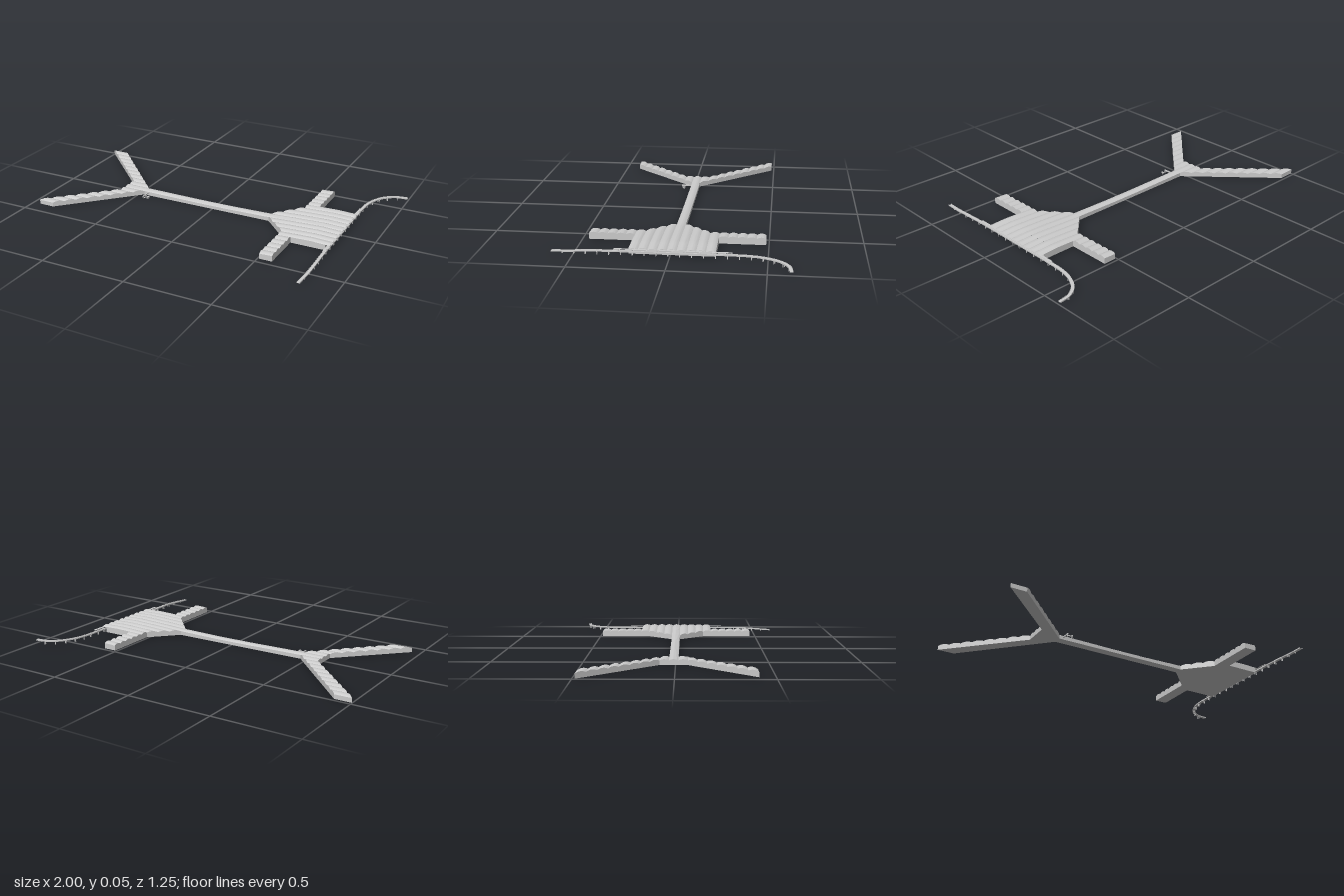
import * as THREE from 'three';
import { toCreasedNormals, mergeGeometries } from 'three/addons/utils/BufferGeometryUtils.js';

const grey = new THREE.MeshStandardMaterial({ color: 0xcccccc });
const greyThin = new THREE.MeshStandardMaterial({ color: 0xcccccc, side: THREE.DoubleSide });
const BAY = 0.05, Z0 = -0.485, FLOOR = 0.002, MID = -0.01;
const lerp = THREE.MathUtils.lerp;

// Piecewise-linear lookup
function along(table, t) {
  for (let i = 1; i < table.length; i++) {
    const [a, ya] = table[i - 1], [b, yb] = table[i];
    if (t <= b) return lerp(ya, yb, Math.max(0, (t - a) / (b - a)));
  }
  return table[table.length - 1][1];
}

// Roof crest sags along the spine and swells over the hall; bays are arched across z
const CREST = [[-1, 0.035], [-0.5, 0.033], [-0.1, 0.029], [0.1, 0.029], [0.38, 0.034],
  [0.52, 0.040], [0.62, 0.044], [0.70, 0.046], [0.81, 0.042]];
function roofY(x, z) {
  const t = (((z - Z0) / BAY) % 1 + 1) % 1;
  const s = 2 * t - 1;
  return along(CREST, x) - 0.008 * s * s;
}

// Surface patch from a rule; it faces du x dv
function patch(f, nu, nv) {
  const pos = [];
  for (let i = 0; i < nu; i++) for (let j = 0; j < nv; j++) {
    const a = f(i / nu, j / nv), b = f((i + 1) / nu, j / nv);
    const c = f((i + 1) / nu, (j + 1) / nv), d = f(i / nu, (j + 1) / nv);
    pos.push(...a, ...b, ...c, ...a, ...c, ...d);
  }
  const g = new THREE.BufferGeometry();
  g.setAttribute('position', new THREE.Float32BufferAttribute(pos, 3));
  return g;
}

function addMesh(parent, name, geos, material = grey) {
  const mesh = new THREE.Mesh(toCreasedNormals(mergeGeometries(geos), 0.45), material);
  mesh.name = name;
  parent.add(mesh);
}

function box(w, h, d, x, y, z, ry = 0) {
  const g = new THREE.BoxGeometry(w, h, d).toNonIndexed().rotateY(ry).translate(x, y, z);
  g.deleteAttribute('uv');
  g.deleteAttribute('normal');
  return g;
}

// Footprint edges as functions of z
const westOuter = z => (z < -0.085 ? -0.6 + (z + 0.085) : z > 0.065 ? -0.6 - (z - 0.065) : -0.6);
const westInner = z => (z < MID ? -0.465 + (z + 0.035) * 0.97 : -0.465 - (z - 0.015) * 0.98);
const hallWest = z => lerp(0.365, 0.51, Math.min(1, Math.max(0, (Math.abs(z - MID) - 0.025) / 0.15)));
const HALL_EAST = 0.785, PIER_EAST = 0.585, EAVE = 0.81;

// One arched bay: roof, underside and the two end walls
function bay(out, za, zb, xa, xb) {
  const zm = (za + zb) / 2, n = Math.max(4, Math.ceil((xb(zm) - xa(zm)) / 0.03));
  const Z = t => lerp(za, zb, t);
  // keep the valley heights exact at both bay edges
  const Y = (x, t) => along(CREST, x) - 0.008 * (2 * t - 1) ** 2;
  out.roof.push(patch((u, v) => {
    const x = lerp(xa(Z(u)), xb(Z(u)), v);
    return [x, Y(x, u), Z(u)];
  }, 10, n));
  out.floor.push(patch((u, v) => [lerp(xa(Z(v)), xb(Z(v)), u), FLOOR, Z(v)], 1, 1));
  out.walls.push(patch((u, v) => {
    const x = xb(Z(v));
    return [x, lerp(FLOOR, Y(x, v), u), Z(v)];
  }, 1, 10));
  out.walls.push(patch((u, v) => {
    const x = xa(Z(u));
    return [x, lerp(FLOOR, Y(x, u), v), Z(u)];
  }, 10, 1));
}

// Straight wall at constant z, facing +z or -z
function crossWall(out, xa, xb, z, sign) {
  const n = Math.ceil((xb - xa) / 0.03);
  const p = (s, t) => {
    const x = lerp(xa, xb, s);
    return [x, lerp(FLOOR, along(CREST, x) - 0.008, t), z];
  };
  out.walls.push(sign > 0 ? patch((u, v) => p(u, v), n, 1) : patch((u, v) => p(v, u), 1, n));
}

function buildTerminal(group) {
  const out = { roof: [], floor: [], walls: [] };
  const eaves = [];
  for (let k = 0; k < 19; k++) {
    const za = Z0 + k * BAY, zb = za + BAY, zm = (za + zb) / 2;
    const inHall = zm > -0.235 && zm < 0.215;
    const hallEast = () => (inHall ? HALL_EAST : PIER_EAST);
    if (k === 9) {
      bay(out, za, zb, westOuter, hallEast); // spine bay runs the full length
    } else {
      if (zm < 0.415) bay(out, za, zb, westOuter, westInner);
      bay(out, za, zb, hallWest, hallEast);
    }
    if (inHall) eaves.push(patch((u, v) => {
      const x = lerp(HALL_EAST, EAVE, v);
      return [x, along(CREST, x) - 0.008 * (2 * u - 1) ** 2, lerp(za, zb, u)];
    }, 10, 2));
  }
  // Pier ends, hall shoulders and the long spine sides
  crossWall(out, westOuter(Z0), westInner(Z0), Z0, -1);
  crossWall(out, westOuter(0.415), westInner(0.415), 0.415, 1);
  crossWall(out, 0.51, PIER_EAST, Z0, -1);
  crossWall(out, 0.51, PIER_EAST, 0.465, 1);
  crossWall(out, PIER_EAST, HALL_EAST, -0.235, -1);
  crossWall(out, PIER_EAST, HALL_EAST, 0.215, 1);
  crossWall(out, -0.465, 0.365, -0.035, -1);
  crossWall(out, -0.465, 0.365, 0.015, 1);
  addMesh(group, 'archedRoof', out.roof);
  addMesh(group, 'walls', out.walls);
  addMesh(group, 'floor', out.floor);
  addMesh(group, 'roofEaves', eaves, greyThin);
}

function buildRoad(group) {
  const path = new THREE.CatmullRomCurve3([
    [0.797, 0.008, 0.62], [0.805, 0.014, 0.52], [0.807, 0.020, 0.42], [0.803, 0.021, 0.28],
    [0.803, 0.021, 0], [0.803, 0.021, -0.28], [0.808, 0.021, -0.41], [0.828, 0.021, -0.49],
    [0.870, 0.021, -0.562], [0.930, 0.021, -0.605], [1.0, 0.021, -0.617],
  ].map(p => new THREE.Vector3(...p)));
  // Deck cross-section with low parapets, as (across, up)
  const section = [[-0.009, -0.004], [0.009, -0.004], [0.009, 0.003], [0.008, 0.003],
    [0.008, 0], [-0.008, 0], [-0.008, 0.003], [-0.009, 0.003]];
  const N = 90, frames = [];
  for (let i = 0; i <= N; i++) {
    const p = path.getPointAt(i / N), t = path.getTangentAt(i / N);
    const side = new THREE.Vector3(-t.z, 0, t.x).normalize();
    frames.push(section.map(([a, b]) => [p.x + side.x * a, p.y + b, p.z + side.z * a]));
  }
  const S = section.length;
  const geos = [patch((u, v) => frames[Math.round(v * N)][Math.round(u * S) % S], S, N)];
  addMesh(group, 'elevatedRoad', geos, greyThin);

  // Paired columns with a crossbeam
  const columns = [];
  for (let i = 1; i < 22; i++) {
    const u = i / 22, p = path.getPointAt(u), t = path.getTangentAt(u);
    const ry = Math.atan2(t.x, t.z), h = p.y - 0.004;
    for (const s of [-0.005, 0.005]) {
      columns.push(box(0.003, h, 0.004, p.x + s * Math.cos(ry), h / 2, p.z - s * Math.sin(ry), ry));
    }
    columns.push(box(0.016, 0.002, 0.005, p.x, h - 0.001, p.z, ry));
  }
  addMesh(group, 'roadColumns', columns);

  // Drop-off canopy in front of the hall
  const canopy = [box(0.016, 0.0015, 0.61, 0.805, 0.033, -0.015)];
  for (let i = 0; i < 9; i++) canopy.push(box(0.002, 0.012, 0.002, 0.799, 0.027, -0.295 + i * 0.07));
  addMesh(group, 'dropOffCanopy', canopy);
}

function buildBoardingBridge(group) {
  addMesh(group, 'boardingBridge', [
    box(0.006, 0.007, 0.06, -0.44, 0.015, 0.045),
    box(0.035, 0.005, 0.004, -0.422, 0.014, 0.055),
    box(0.035, 0.003, 0.003, -0.422, 0.007, 0.064),
    box(0.005, 0.008, 0.018, -0.408, 0.013, 0.06),
    box(0.003, 0.012, 0.003, -0.44, 0.006, 0.066),
    box(0.003, 0.010, 0.003, -0.408, 0.005, 0.06),
  ]);
}

export function createModel() {
  const group = new THREE.Group();
  group.name = 'airportTerminal';
  buildTerminal(group);
  buildRoad(group);
  buildBoardingBridge(group);
  return group;
}
